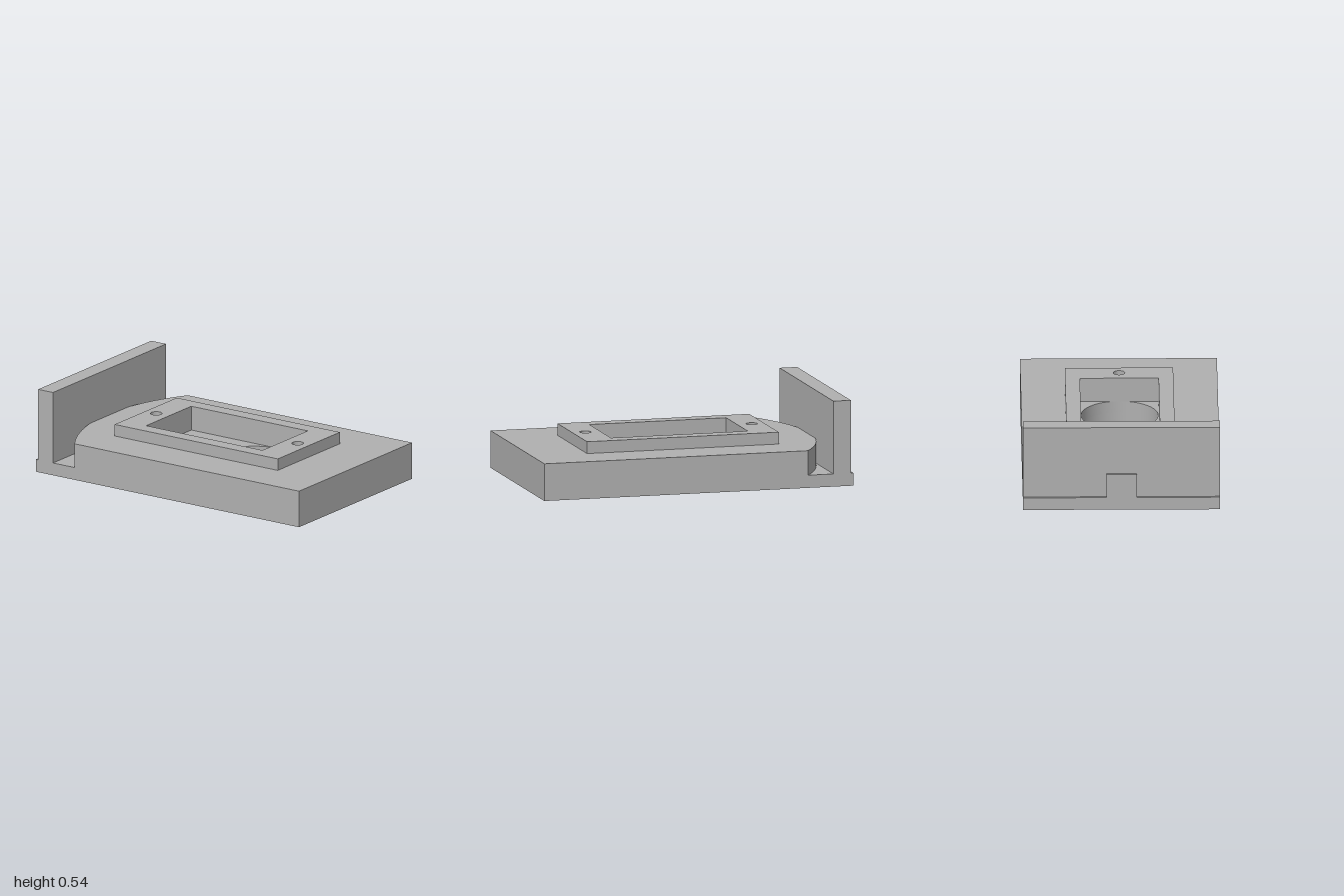
import * as THREE from 'three';
import { toCreasedNormals } from 'three/addons/utils/BufferGeometryUtils.js';

const W = 0.613;                 // half width of the base
const FLOOR = 0.08, LEDGE = 0.155, DECK = 0.235, RIM = 0.31;

// Shapes are drawn in plan with shape y = -z, then extruded upwards.
function rect(Type, halfW, back, front) {
  const s = new Type();
  s.moveTo(-halfW, -front);
  s.lineTo(halfW, -front);
  s.lineTo(halfW, -back);
  s.lineTo(-halfW, -back);
  s.closePath();
  return s;
}

function keyhole() {
  const p = new THREE.Path(), r = 0.118, R = 0.24, cy = -0.228;
  const a = Math.acos(r / R), y = cy + R * Math.sin(a);
  p.moveTo(r, y);
  p.lineTo(r, 0.01);
  p.absarc(0, 0.01, r, 0, Math.PI, false);
  p.lineTo(-r, y);
  p.absarc(0, cy, R, Math.PI - a, Math.PI * 2 + a, false);
  return p;
}

function screwHole(z) {
  const p = new THREE.Path();
  p.absarc(0, -z, 0.036, 0, Math.PI * 2, false);
  return p;
}

// Base outline whose back edge is an arc, flattened where it meets the wall
function archedOutline() {
  const s = new THREE.Shape(), cy = -0.226, R = 1.115;
  const a1 = Math.acos(W / R), a2 = Math.asin((0.87 - cy) / R);
  s.moveTo(-W, -1);
  s.lineTo(W, -1);
  s.absarc(0, cy, R, a1, a2, false);
  s.absarc(0, cy, R, Math.PI - a2, Math.PI - a1, false);
  s.closePath();
  return s;
}

export function createModel() {
  const model = new THREE.Group();
  const grey = new THREE.MeshStandardMaterial({ color: 0xb0b0b0 });
  grey.name = 'plain grey';

  function add(name, geometry) {
    const mesh = new THREE.Mesh(geometry, grey);
    mesh.name = name;
    model.add(mesh);
    return mesh;
  }

  function layer(name, shape, holes, y0, y1) {
    shape.holes.push(...holes);
    const g = new THREE.ExtrudeGeometry(shape, { depth: y1 - y0, bevelEnabled: false, curveSegments: 40 });
    g.rotateX(-Math.PI / 2);
    g.translate(0, y0, 0);
    add(name, toCreasedNormals(g, 0.5));
  }

  function box(name, w, y0, y1, z0, z1) {
    add(name, new THREE.BoxGeometry(w, y1 - y0, z1 - z0))
      .position.set(0, (y0 + y1) / 2, (z0 + z1) / 2);
  }

  const pocket = () => rect(THREE.Path, 0.245, -0.42, 0.465);
  const screws = () => [screwHole(-0.515), screwHole(0.56)];

  // Base: full floor, arched body below the pocket, arched body around it
  layer('baseFloor', rect(THREE.Shape, W, -1, 1), [keyhole()], 0, FLOOR);
  layer('baseLower', archedOutline(), [keyhole()], FLOOR, LEDGE);
  layer('baseUpper', archedOutline(), [pocket(), ...screws()], LEDGE, DECK);

  // Raised frame around the pocket
  layer('raisedFrame', rect(THREE.Shape, 0.337, -0.595, 0.645), [pocket(), ...screws()], DECK, RIM);

  // Upright wall and the small tab behind it
  box('backWall', W * 2, FLOOR, 0.54, -0.983, -0.87);
  box('backTab', 0.188, FLOOR, DECK, -1, -0.983);

  return model;
}
